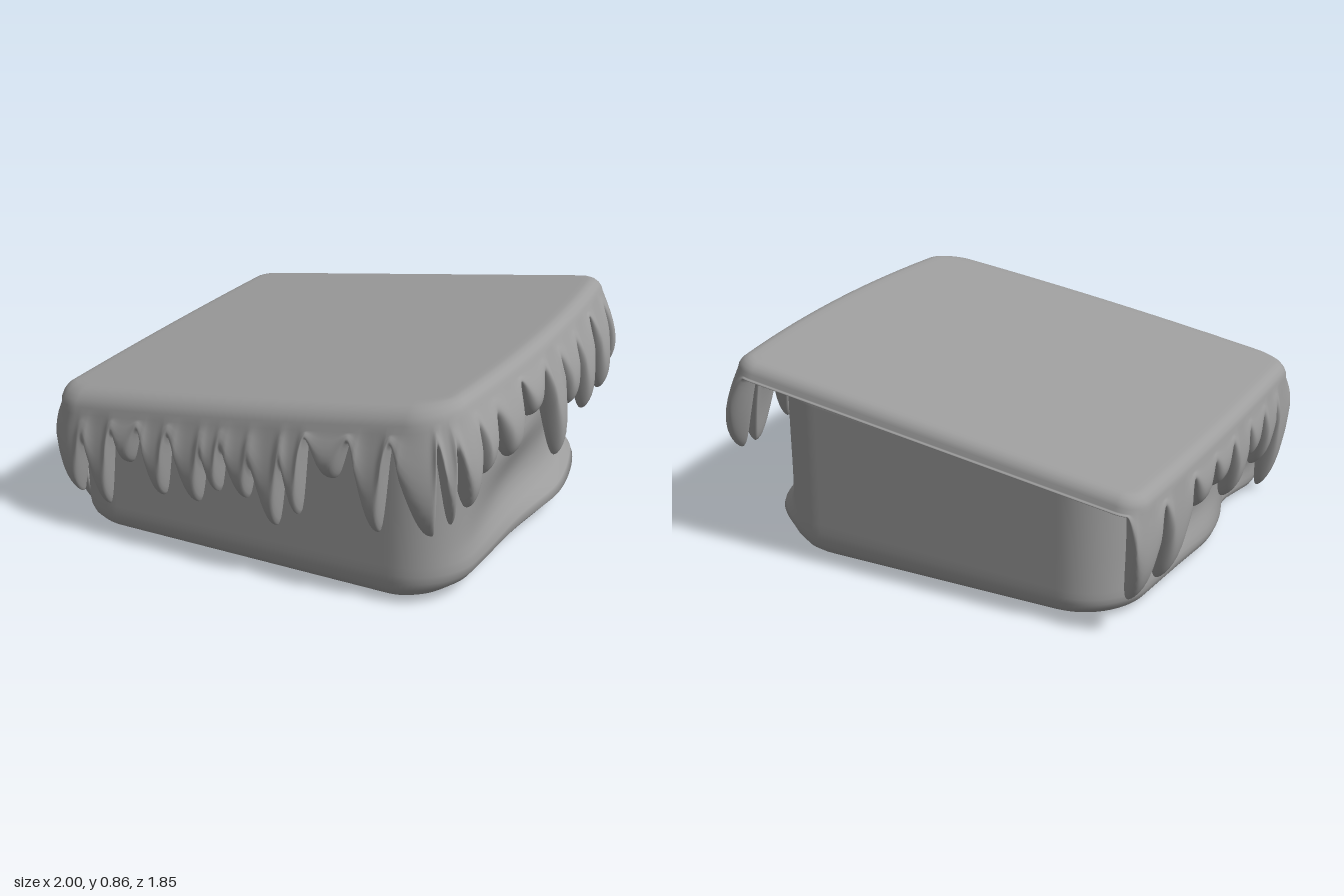
import * as THREE from 'three';

const { lerp, smoothstep } = THREE.MathUtils;
const material = new THREE.MeshStandardMaterial({ color: 0x9e9e9e });

// Slanted top of the slice
const topY = (x) => 0.6 + (x + 0.9) * 0.148;

// Closed skin from loops; point(s, j) gives row j at perimeter position s in 0..4
function loft(name, columns, rows, point) {
  const positions = [], index = [];
  for (let j = 0; j < rows; j++)
    for (let i = 0; i < columns; i++) positions.push(...point((4 * i) / columns, j));
  for (let j = 0; j < rows - 1; j++)
    for (let i = 0; i < columns; i++) {
      const n = (i + 1) % columns;
      const a = j * columns + i, b = j * columns + n;
      index.push(a, b, b + columns, a, b + columns, a + columns);
    }
  const geometry = new THREE.BufferGeometry();
  geometry.setAttribute('position', new THREE.Float32BufferAttribute(positions, 3));
  geometry.setIndex(index);
  geometry.computeVertexNormals();
  const mesh = new THREE.Mesh(geometry, material);
  mesh.name = name;
  return mesh;
}

// Rounded rectangle: s 0-1 left side to the front, 1-2 front, 2-3 right side, 3-4 back
function outline(s, { x0, x1, z0, z1, rFront, rBack }) {
  const side = Math.floor(s) % 4, f = s - Math.floor(s);
  const px = [x1, lerp(x1, x0, f), x0, lerp(x0, x1, f)][side];
  const pz = [lerp(z0, z1, f), z1, lerp(z1, z0, f), z0][side];
  const r = pz > 0 ? rFront : rBack;
  const cx = THREE.MathUtils.clamp(px, x0 + r, x1 - r);
  const cz = THREE.MathUtils.clamp(pz, z0 + r, z1 - r);
  const d = Math.hypot(px - cx, pz - cz);
  const nx = (px - cx) / d, nz = (pz - cz) / d;
  return { x: cx + nx * r, z: cz + nz * r, nx, nz };
}

const ICING = { x0: -0.965, x1: 0.83, z0: -0.92, z1: 0.85, rFront: 0.15, rBack: 0.1 };
const BODY = { x0: -0.9, x1: 0.86, z0: -0.85, z1: 0.84, rFront: 0.24, rBack: 0.26 };

// Lower edge of the icing: gaps and drip tips as [position along side, height]
const leftDrips = [[-0.87, 0.44], [-0.76, 0.72], [-0.69, 0.4], [-0.53, 0.77], [-0.41, 0.41],
  [-0.3, 0.72], [-0.22, 0.5], [-0.1, 0.72], [-0.03, 0.35], [0.07, 0.73], [0.18, 0.6], [0.29, 0.77],
  [0.39, 0.51], [0.52, 0.71], [0.61, 0.52], [0.66, 0.71], [0.74, 0.43], [0.79, 0.66]];
const frontDrips = [[0.85, 0.37], [0.8, 0.69], [0.76, 0.32], [0.63, 0.68], [0.57, 0.3], [0.46, 0.66],
  [0.38, 0.49], [0.28, 0.64], [0.23, 0.3], [0.18, 0.48], [0.13, 0.23], [0.04, 0.45], [0, 0.32],
  [-0.09, 0.5], [-0.13, 0.32], [-0.18, 0.44], [-0.23, 0.25], [-0.34, 0.51], [-0.4, 0.24],
  [-0.49, 0.51], [-0.56, 0.35], [-0.62, 0.46], [-0.68, 0.13], [-0.77, 0.38], [-0.84, 0.15]];
const rightDrips = [[0.78, 0.36], [0.65, 0.02], [0.55, 0.4], [0.47, 0.2], [0.38, 0.44], [0.28, 0.3],
  [0.2, 0.45], [0.1, 0.2], [0.0, 0.46], [-0.1, 0.33], [-0.2, 0.46], [-0.3, 0.32], [-0.42, 0.48],
  [-0.56, 0.12], [-0.7, 0.48], [-0.84, 0.15]];
const { x0, x1, z0, z1 } = ICING;
const edgeKeys = [
  [-0.04, 0.78],
  ...leftDrips.map(([z, y]) => [(z - z0) / (z1 - z0), y]),
  ...frontDrips.map(([x, y]) => [1 + (x1 - x) / (x1 - x0), y]),
  ...rightDrips.map(([z, y]) => [2 + (z1 - z) / (z1 - z0), y]),
  [3.03, 0.53],
];

function lowerEdge(s, x) {
  const lip = topY(x) - 0.075;
  const u = s > 3.96 ? s - 4 : s;
  const k = edgeKeys.findIndex((key) => key[0] > u);
  if (k < 1) return lip;
  const [sa, ya] = edgeKeys[k - 1], [sb, yb] = edgeKeys[k];
  const f = (u - sa) / (sb - sa);
  // Fingers stay wide down to a blunt tip and leave narrow gaps
  const rise = smoothstep((ya < yb ? f : 1 - f) ** 1.4, 0, 1);
  return Math.min(lip, lerp(Math.min(ya, yb), Math.max(ya, yb), rise));
}

// Icing: flat top, rounded rim, dripping skirt, inner wall and underside
function makeIcing() {
  const rows = [];
  for (const scale of [0, 0.5, 0.9, 0.97]) rows.push({ kind: 'top', scale });
  for (let k = 0; k <= 5; k++) rows.push({ kind: 'rim', a: (k / 5) * Math.PI / 2 });
  const K = 13;
  for (let k = 1; k <= K; k++) rows.push({ kind: 'outer', t: 1 - (1 - k / K) ** 2 });
  for (let k = K - 1; k >= 2; k--) rows.push({ kind: 'inner', t: 1 - (1 - k / K) ** 2 });
  for (const scale of [0.88, 0]) rows.push({ kind: 'under', scale });

  return loft('icing', 1040, rows.length, (s, j) => {
    const row = rows[j], p = outline(s, ICING);
    // Gentle bow of the front and side edges
    const bowX = Math.max(0, 1 - (p.z / 0.9) ** 2), bowZ = Math.max(0, 1 - (p.x / 0.9) ** 2);
    p.x += (p.nx > 0 ? 0.065 : 0.02) * p.nx * bowX;
    if (p.nz > 0) p.z += 0.035 * p.nz * bowZ;
    const yTop = topY(p.x), yLow = lowerEdge(s, p.x), length = yTop - yLow;
    const e = 0.06 + 0.035 * Math.max(0, p.nz);
    // The sides hang roughly square to the slanted top
    const slant = p.nx > 0 ? 0.17 * p.nx : -0.1 * p.nx;
    const place = (offset, drop, scale = 1) => {
      const x = (p.x + p.nx * offset) * scale;
      const z = (p.z + p.nz * offset) * scale;
      return [x + drop * slant, topY(x) - drop, z];
    };
    if (row.kind === 'top') return place(-e, 0, row.scale);
    if (row.kind === 'rim') return place(-e * (1 - Math.sin(row.a)), e * (1 - Math.cos(row.a)));
    if (row.kind === 'under') return place(0, 0.06, row.scale);
    const t = row.t, round = Math.sqrt(1 - t ** 6);
    const bulge = 0.1 * t * (1 - t * t) * Math.min(1, length / 0.3);
    const offset = row.kind === 'outer' ? 0.035 * (round - 1) + bulge : -0.035 * (1 + round) + bulge * 0.5;
    const [x, , z] = place(offset, 0);
    const y = lerp(yTop - e, yLow, t);
    return [x + (yTop - y) * slant, y, z];
  });
}

// Soft dents and bulges on the sides: [side sign, z, y, amount, z spread, y spread]
const dents = [
  [1, -0.25, 0.1, 0.07, 0.4, 0.07], [1, 0.15, 0.28, -0.04, 0.35, 0.12], [1, -0.3, 0.34, -0.02, 0.3, 0.12],
  [1, 0.2, 0.5, 0.02, 0.25, 0.08], [1, 0.45, 0.13, 0.02, 0.3, 0.06], [1, -0.6, 0.1, 0.05, 0.25, 0.06],
  [-1, 0.42, 0.1, -0.09, 0.2, 0.12], [-1, -0.3, 0.2, -0.04, 0.25, 0.1], [-1, -0.05, 0.1, 0.02, 0.15, 0.1],
];

// Cake body: soft-cornered block, narrower at the back, with a bevelled foot
function makeBody() {
  const rows = [[1, 1], [1, 0.5], [1, 0.08], [0.97, 0.03]];
  for (let k = 0; k <= 16; k++) rows.push([lerp(0.93, 0.16, k / 16), 0]);
  rows.push([0.12, 0.003], [0.08, 0.012], [0.045, 0.03], [0.018, 0.06], [0.004, 0.1], [0, 0.16], [0, 0.5], [0, 1]);

  return loft('cakeBody', 280, rows.length, (s, j) => {
    const [f, inset] = rows[j], p = outline(s, BODY);
    p.x *= 1 - (p.x > 0 ? 0.17 : 0.05) * smoothstep(-p.z, 0.1, 0.85);
    const y = f * (topY(p.x) - 0.035);
    let push = 0;
    for (const [sign, z, h, amount, rz, ry] of dents)
      push += amount * Math.max(0, sign * p.nx) * Math.exp(-(((p.z - z) / rz) ** 2) - ((y - h) / ry) ** 2);
    // The foot tucks in further on the tall side
    if (p.nx > 0) push -= 0.09 * p.nx * Math.max(0, 1 - y / 0.1) ** 2;
    const x = (p.x + p.nx * push) * (1 - inset), z = p.z * (1 - inset);
    return [x, f === 1 ? topY(x) - 0.035 : y, z];
  });
}

export function createModel() {
  const group = new THREE.Group();
  group.name = 'icedCakeSlice';
  group.add(makeBody(), makeIcing());
  return group;
}
